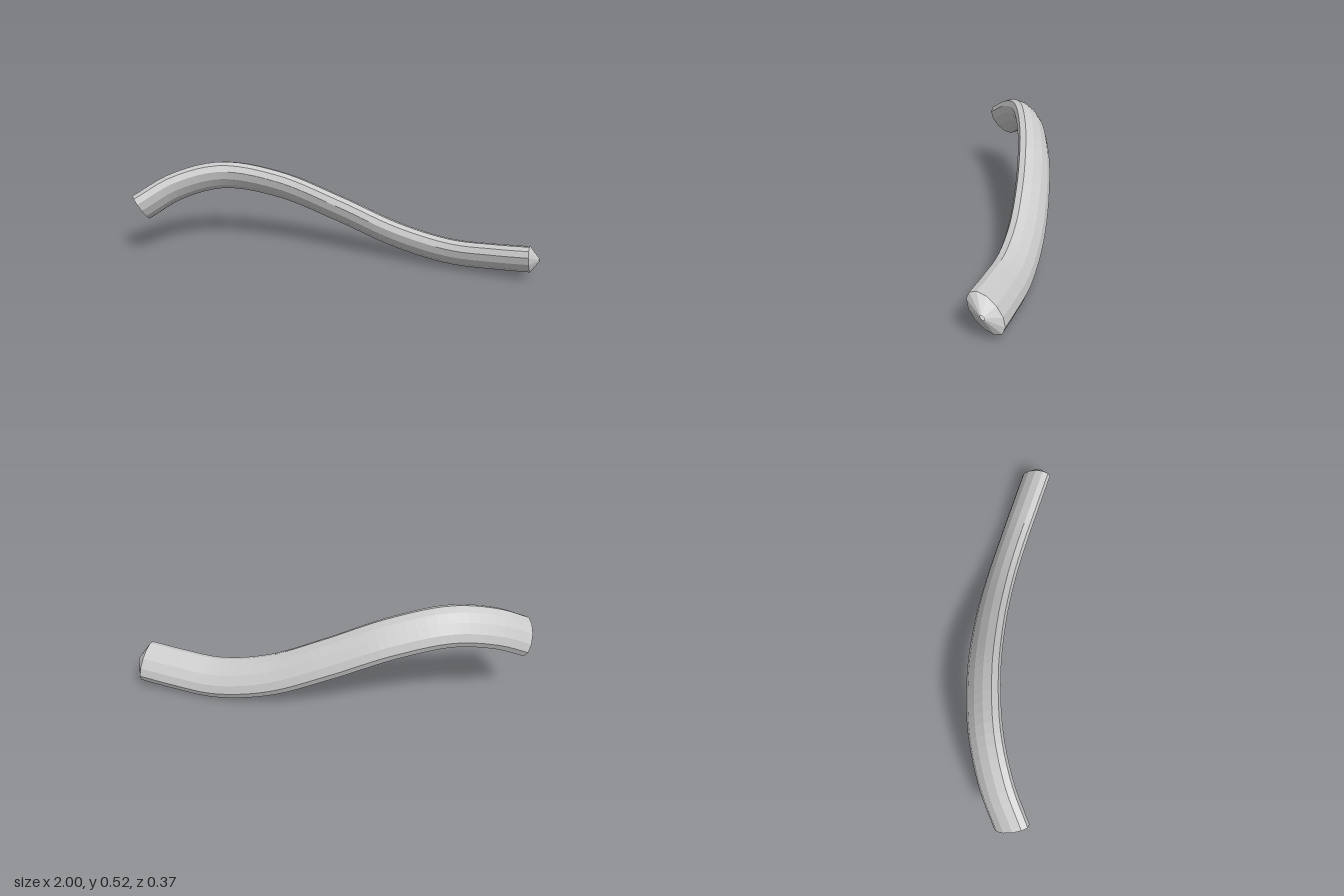
import * as THREE from 'three';

const SIDES = 12, STEPS = 44;
const HALF_WIDTH = 0.104, HALF_THICK = 0.056;

// centreline: an S in height, a shallow bow in depth
const path = new THREE.CatmullRomCurve3([
  [-0.965, 0.308, 0.105], [-0.8, 0.394, 0.018], [-0.58, 0.437, -0.055],
  [-0.3, 0.382, -0.098], [0, 0.262, -0.107], [0.3, 0.142, -0.087],
  [0.57, 0.09, -0.045], [0.78, 0.101, 0.0], [0.957, 0.12, 0.04],
].map(p => new THREE.Vector3(...p)));

// elliptical ring across the path, its long axis leaning up and forward
function ring(t, scale = 1, push = 0) {
  const along = path.getTangentAt(t);
  const wide = new THREE.Vector3(0, 0.75, 0.66);
  wide.addScaledVector(along, -wide.dot(along)).normalize();
  const thin = new THREE.Vector3().crossVectors(along, wide);
  const centre = path.getPointAt(t).addScaledVector(along, push);
  return Array.from({ length: SIDES }, (_, i) => {
    const a = (i / SIDES) * Math.PI * 2;
    return centre.clone()
      .addScaledVector(wide, Math.cos(a) * HALF_WIDTH * scale)
      .addScaledVector(thin, Math.sin(a) * HALF_THICK * scale);
  });
}

// skin a list of rings into one surface
function loft(rings) {
  const geometry = new THREE.BufferGeometry().setFromPoints(rings.flat());
  const index = [];
  for (let r = 0; r < rings.length - 1; r++) {
    for (let i = 0; i < SIDES; i++) {
      const j = (i + 1) % SIDES;
      const a = r * SIDES + i, b = r * SIDES + j;
      index.push(a, b, b + SIDES, a, b + SIDES, a + SIDES);
    }
  }
  geometry.setIndex(index);
  geometry.computeVertexNormals();
  return geometry;
}

export function createModel() {
  const group = new THREE.Group();
  group.name = 'curvedBar';
  const material = new THREE.MeshStandardMaterial({
    color: 0xcccccc, flatShading: true, side: THREE.DoubleSide,
  });
  const add = (name, rings) => {
    const mesh = new THREE.Mesh(loft(rings), material);
    mesh.name = name;
    group.add(mesh);
  };

  // swept body
  add('body', Array.from({ length: STEPS + 1 }, (_, i) => ring(i / STEPS)));
  // pointed end with a tiny opening at its tip
  add('pointedEnd', [ring(1), ring(1, 0.12, 0.043)]);
  // flat end
  add('flatEnd', [ring(0, 0.001), ring(0)]);
  return group;
}
